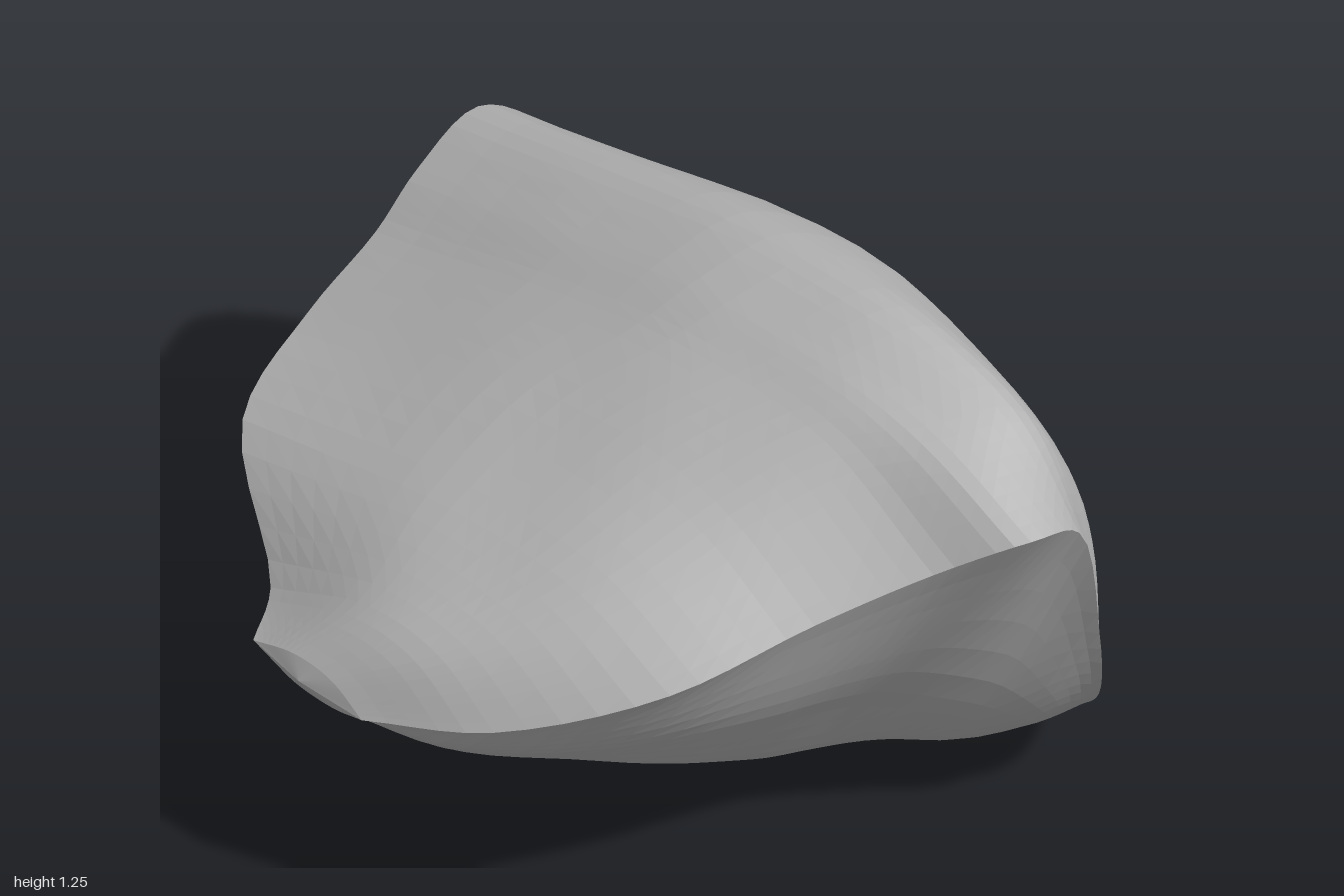
import * as THREE from 'three';

// Cross-sections from front to back: z, then x,y of six rails:
// left rim, crown, right shoulder, right rim, hollow of the right side, keel
const SECTIONS = [
  [0.815, -0.31, 0.535, -0.18, 0.58, -0.06, 0.58, 0.04, 0.54, -0.05, 0.515, -0.17, 0.51],
  [0.7, -0.4, 0.56, -0.08, 0.7, 0.14, 0.71, 0.32, 0.62, 0.2, 0.51, 0.03, 0.46],
  [0.48, -0.77, 0.66, -0.1, 0.83, 0.32, 0.86, 0.61, 0.78, 0.4, 0.52, 0.12, 0.365],
  [0.2, -0.91, 0.72, -0.1, 0.97, 0.4, 1.015, 0.72, 0.89, 0.51, 0.52, 0.15, 0.235],
  [0.0, -0.95, 0.8, 0, 1.09, 0.5, 1.125, 0.85, 1.0, 0.52, 0.48, 0.15, 0.15],
  [-0.13, -0.98, 0.88, 0.05, 1.165, 0.66, 1.2, 1.0, 1.11, 0.51, 0.43, 0.15, 0.115],
  [-0.3, -1.0, 0.945, 0.1, 1.22, 0.72, 1.205, 0.94, 1.02, 0.55, 0.35, 0.15, 0.08],
  [-0.43, -0.955, 0.87, 0.15, 1.16, 0.74, 1.0, 0.84, 0.65, 0.57, 0.27, 0.15, 0.04],
  [-0.57, -0.81, 0.68, 0.08, 0.965, 0.6, 0.68, 0.66, 0.33, 0.45, 0.14, 0.15, 0.015],
  [-0.71, -0.52, 0.43, 0, 0.66, 0.34, 0.42, 0.4, 0.11, 0.3, 0.04, 0.15, 0.003],
  [-0.8, -0.2, 0.19, -0.08, 0.34, 0.12, 0.27, 0.22, 0.06, 0.2, 0.03, 0.13, 0.01],
];
const RINGS = 50, TOP = 24, UNDER = 26;

// Smooth curve along the stone through one rail
function rail(n) {
  return new THREE.CatmullRomCurve3(
    SECTIONS.map((s) => new THREE.Vector3(s[1 + n * 2], s[2 + n * 2], s[0])));
}

function stoneGeometry() {
  const rails = [0, 1, 2, 3, 4, 5].map(rail);
  const positions = [], index = [];
  const count = TOP + UNDER;
  const ends = [];

  for (let i = 0; i <= RINGS; i++) {
    const [left, crown, shoulder, right, hollow, keel] = rails.map((r) => r.getPoint(i / RINGS));
    const flank = keel.clone().lerp(left, 0.55);
    flank.y -= 0.06 * Math.sin((Math.PI * i) / RINGS);
    // The two arcs meet in a sharp edge at both rims
    const top = new THREE.CatmullRomCurve3([left, crown, shoulder, right]);
    const under = new THREE.CatmullRomCurve3([right, hollow, keel, flank, left]);
    const ring = [...top.getPoints(TOP).slice(0, -1), ...under.getPoints(UNDER).slice(0, -1)];
    const centre = new THREE.Vector3();
    ring.forEach((p, j) => {
      // Faint weathering of the faces, fading out at the rims
      const fade = j < TOP ? Math.sin((Math.PI * j) / TOP) : Math.sin((Math.PI * (j - TOP)) / UNDER);
      p.y += 0.004 * fade * Math.sin(p.x * 9 + p.z * 5) * Math.sin(p.z * 13 - p.x * 3);
      p.y = Math.max(p.y, 0);
      positions.push(p.x, p.y, p.z);
      centre.addScaledVector(p, 1 / count);
    });
    // Ends bulge out slightly
    if (i === 0 || i === RINGS) ends.push(centre.setZ(centre.z * 1.025));
  }

  // Skin between neighbouring rings
  for (let i = 0; i < RINGS; i++) {
    for (let j = 0; j < count; j++) {
      const a = i * count + j, b = i * count + ((j + 1) % count);
      index.push(a, b, a + count, b, b + count, a + count);
    }
  }
  // Closed ends
  const front = positions.length / 3, last = RINGS * count;
  ends.forEach((p) => positions.push(p.x, p.y, p.z));
  for (let j = 0; j < count; j++) {
    const k = (j + 1) % count;
    index.push(front, k, j, front + 1, last + j, last + k);
  }

  const geometry = new THREE.BufferGeometry();
  geometry.setAttribute('position', new THREE.Float32BufferAttribute(positions, 3));
  geometry.setIndex(index);
  geometry.computeVertexNormals();
  return geometry;
}

export function createModel() {
  const group = new THREE.Group();
  group.name = 'rock';
  const stoneGrey = new THREE.MeshStandardMaterial({ color: 0xb8b8b8, flatShading: true });
  stoneGrey.name = 'stone grey';
  const stone = new THREE.Mesh(stoneGeometry(), stoneGrey);
  stone.name = 'stone';
  group.add(stone);
  return group;
}
